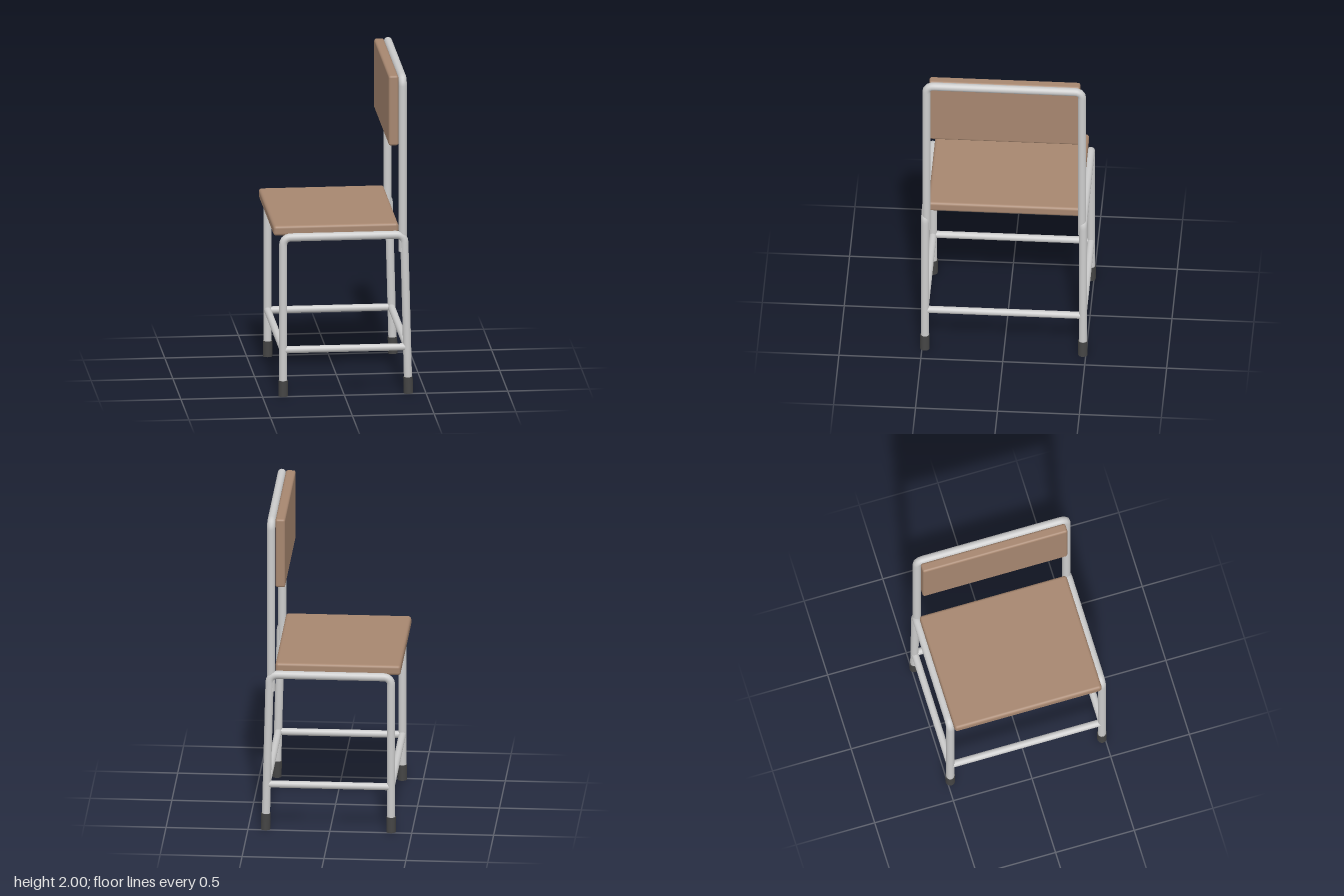
import * as THREE from 'three';
import { RoundedBoxGeometry } from 'three/addons/geometries/RoundedBoxGeometry.js';

const V = (x, y, z) => new THREE.Vector3(x, y, z);
const metal = new THREE.MeshStandardMaterial({ color: 0xcccccc });
const wood = new THREE.MeshStandardMaterial({ color: 0xa6866f });
const rubber = new THREE.MeshStandardMaterial({ color: 0x444444 });
const TUBE = 0.025;

// Polyline with each inner corner rounded by a quadratic bend
function bentPath(points, bend) {
  const path = new THREE.CurvePath();
  let from = points[0];
  for (let i = 1; i < points.length - 1; i++) {
    const p = points[i];
    const a = p.clone().add(points[i - 1].clone().sub(p).setLength(bend));
    const b = p.clone().add(points[i + 1].clone().sub(p).setLength(bend));
    path.add(new THREE.LineCurve3(from, a));
    path.add(new THREE.QuadraticBezierCurve3(a, p, b));
    from = b;
  }
  path.add(new THREE.LineCurve3(from, points[points.length - 1]));
  return path;
}

export function createModel() {
  const chair = new THREE.Group();
  chair.name = 'chair';

  const add = (name, geometry, material) => {
    const mesh = new THREE.Mesh(geometry, material);
    mesh.name = name;
    chair.add(mesh);
    return mesh;
  };
  const bentTube = (name, points, bend) =>
    add(name, new THREE.TubeGeometry(bentPath(points, bend), 160, TUBE, 20), metal);
  // Straight closed cylinder between two points
  const rod = (name, a, b, radius, material) => {
    const dir = b.clone().sub(a);
    const mesh = add(name, new THREE.CylinderGeometry(radius, radius, dir.length(), 20), material);
    mesh.position.copy(a).lerp(b, 0.5);
    mesh.quaternion.setFromUnitVectors(V(0, 1, 0), dir.normalize());
  };
  const board = (name, size, radius, position) =>
    add(name, new RoundedBoxGeometry(...size, 4, radius), wood).position.set(...position);

  // Seat and backrest boards
  board('seat', [0.765, 0.063, 0.934], 0.018, [-0.047, 1.033, 0]);
  board('backrest', [0.06, 0.44, 0.92], 0.014, [0.306, 1.77, 0]);

  // Inverted U that carries the backrest, with closed lower ends
  bentTube('backFrame', [
    V(0.36, 0.89, 0.475), V(0.36, 1.975, 0.475),
    V(0.36, 1.975, -0.475), V(0.36, 0.89, -0.475),
  ], 0.045);

  for (const side of [1, -1]) {
    const z = 0.482 * side;
    const label = side > 0 ? 'left' : 'right';

    const cap = add(label + 'BackFrameEnd', new THREE.CircleGeometry(TUBE, 20), metal);
    cap.rotation.x = Math.PI / 2;
    cap.position.set(0.36, 0.89, 0.475 * side);

    // Both legs and the seat rail are one bent tube
    bentTube(label + 'SideFrame', [
      V(-0.373, 0.02, z), V(-0.373, 0.996, z), V(0.368, 0.996, z), V(0.393, 0.02, z),
    ], 0.05);
    rod(label + 'Stretcher', V(-0.373, 0.29, z), V(0.385, 0.29, z), 0.022, metal);

    // Rubber feet
    rod(label + 'FrontFoot', V(-0.373, 0, z), V(-0.373, 0.098, z), 0.029, rubber);
    rod(label + 'RearFoot', V(0.394, 0, z), V(0.391, 0.103, z), 0.029, rubber);
  }

  // Cross stretchers between the two side frames
  rod('frontStretcher', V(-0.373, 0.29, -0.48), V(-0.373, 0.29, 0.48), 0.022, metal);
  rod('rearStretcher', V(0.385, 0.29, -0.48), V(0.385, 0.29, 0.48), 0.022, metal);

  return chair;
}
